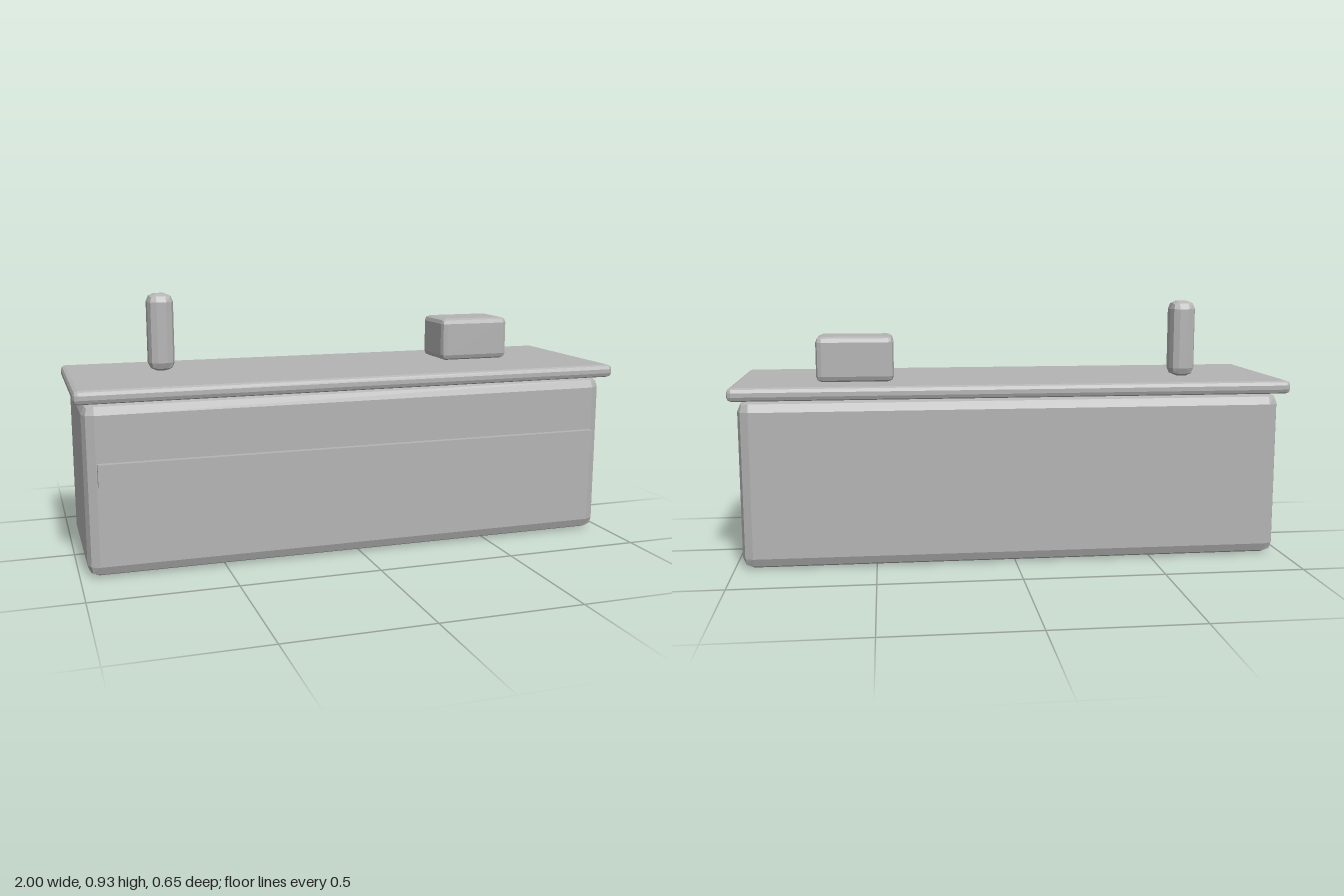
import * as THREE from 'three';
import { RoundedBoxGeometry } from 'three/addons/geometries/RoundedBoxGeometry.js';

export function createModel() {
  const model = new THREE.Group();
  model.name = 'counter';

  const grey = new THREE.MeshStandardMaterial({ color: 0xb4b4b4 });
  grey.name = 'grey';

  // Box given by its low and high corners, with faceted bevels when radius > 0
  function addBox(name, [x0, y0, z0], [x1, y1, z1], radius = 0) {
    const size = [x1 - x0, y1 - y0, z1 - z0];
    let geometry;
    if (radius > 0) {
      geometry = new RoundedBoxGeometry(...size, 1, radius);
      if (geometry.index) geometry = geometry.toNonIndexed();
      geometry.computeVertexNormals(); // flat facets
    } else {
      geometry = new THREE.BoxGeometry(...size);
    }
    const mesh = new THREE.Mesh(geometry, grey);
    mesh.name = name;
    mesh.position.set((x0 + x1) / 2, (y0 + y1) / 2, (z0 + z1) / 2);
    model.add(mesh);
  }

  // Counter body and overhanging top
  addBox('body', [-0.973, 0, -0.292], [0.973, 0.602, 0.292], 0.04);
  addBox('countertop', [-1, 0.604, -0.325], [1, 0.651, 0.325], 0.016);

  // Trim strip along the front
  addBox('frontTrim', [-0.93, 0.32, 0.27], [0.927, 0.4, 0.315]);

  // Objects standing on the top
  addBox('register', [0.428, 0.651, -0.181], [0.705, 0.813, 0.02], 0.02);
  addBox('dispenser', [-0.7, 0.651, -0.129], [-0.606, 0.932, -0.032], 0.03);

  return model;
}
